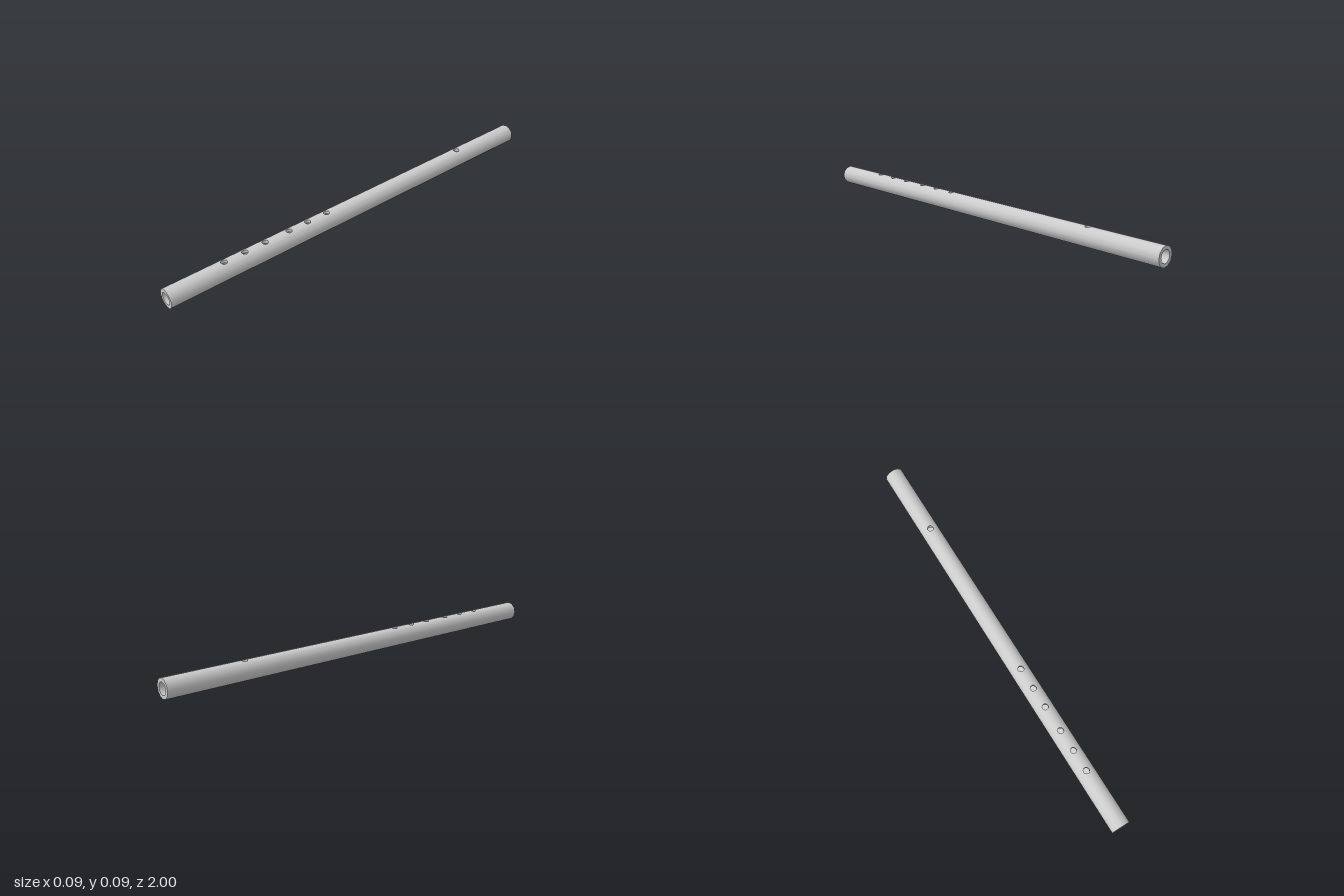
import * as THREE from 'three';

const OUTER = 0.0446, INNER = 0.0283, SIDES = 12, HOLE = 0.014, HOLE_SEGS = 16;
const HOLES = [-0.63, 0.19, 0.295, 0.395, 0.52, 0.623, 0.725];
const STEP = (2 * Math.PI) / SIDES;

// Height of the two top facets at distance x from the ridge
const facetY = (r, x) => r - Math.abs(x) * Math.tan(STEP / 2);

function flipFaces(geo) {
  const idx = geo.index;
  for (let i = 0; i < idx.count; i += 3) {
    const a = idx.getX(i);
    idx.setX(i, idx.getX(i + 2));
    idx.setX(i + 2, a);
  }
  return geo;
}

// Ten plain facets of the tube; the two on top are left open
function tubeSkin(r, inward) {
  const geo = new THREE.CylinderGeometry(r, r, 2, SIDES - 2, 1, true, Math.PI + STEP, 2 * Math.PI - 2 * STEP);
  geo.rotateX(Math.PI / 2);
  if (inward) {
    flipFaces(geo);
    const n = geo.attributes.normal;
    for (let i = 0; i < n.count; i++) n.setXYZ(i, -n.getX(i), -n.getY(i), -n.getZ(i));
  }
  return geo;
}

// One top facet, with a half-round notch at the ridge for each hole
function topFacet(r, side, inward) {
  const w = r * Math.sin(STEP);
  const pts = [[0, -1], [w, -1], [w, 1], [0, 1]].map(p => new THREE.Vector2(...p));
  for (const z of HOLES) {
    for (let i = 0; i <= HOLE_SEGS / 2; i++) {
      const a = (i / HOLE_SEGS) * 2 * Math.PI;
      pts.push(new THREE.Vector2(HOLE * Math.sin(a), -z + HOLE * Math.cos(a)));
    }
  }
  const geo = new THREE.ShapeGeometry(new THREE.Shape(pts));
  const p = geo.attributes.position, n = geo.attributes.normal;
  const s = inward ? -1 : 1;
  for (let i = 0; i < p.count; i++) {
    const x = p.getX(i) * side, y = facetY(r, x), len = Math.hypot(x, y);
    p.setXYZ(i, x, y, -p.getY(i));
    n.setXYZ(i, (s * x) / len, (s * y) / len, 0);
  }
  return side * s < 0 ? flipFaces(geo) : geo;
}

// Wall of a hole, running from the outer skin to the bore
function holeWall(z) {
  const geo = new THREE.CylinderGeometry(HOLE, HOLE, 1, HOLE_SEGS, 1, true);
  const p = geo.attributes.position;
  for (let i = 0; i < p.count; i++) p.setY(i, facetY(p.getY(i) > 0 ? OUTER : INNER, p.getX(i)));
  return geo.translate(0, 0, z);
}

export function createModel() {
  const model = new THREE.Group();
  model.name = 'flute';
  const mat = new THREE.MeshStandardMaterial({ color: 0xcccccc });
  const wallMat = new THREE.MeshStandardMaterial({ color: 0xcccccc, side: THREE.DoubleSide });
  const add = (name, geo, m = mat) => {
    const mesh = new THREE.Mesh(geo, m);
    mesh.name = name;
    mesh.position.y = OUTER;
    model.add(mesh);
  };

  // Outer body and inner bore
  for (const [name, r, inward] of [['body', OUTER, false], ['bore', INNER, true]]) {
    add(name, tubeSkin(r, inward));
    add(name + 'TopLeft', topFacet(r, 1, inward));
    add(name + 'TopRight', topFacet(r, -1, inward));
  }

  // Flat rims at both ends
  add('frontRim', new THREE.RingGeometry(INNER, OUTER, SIDES, 1).translate(0, 0, 1));
  add('backRim', new THREE.RingGeometry(INNER, OUTER, SIDES, 1).rotateY(Math.PI).translate(0, 0, -1));

  // Mouth hole at the back, six finger holes towards the front
  HOLES.forEach((z, i) => add(i === 0 ? 'mouthHole' : 'fingerHole' + i, holeWall(z), wallMat));
  return model;
}
